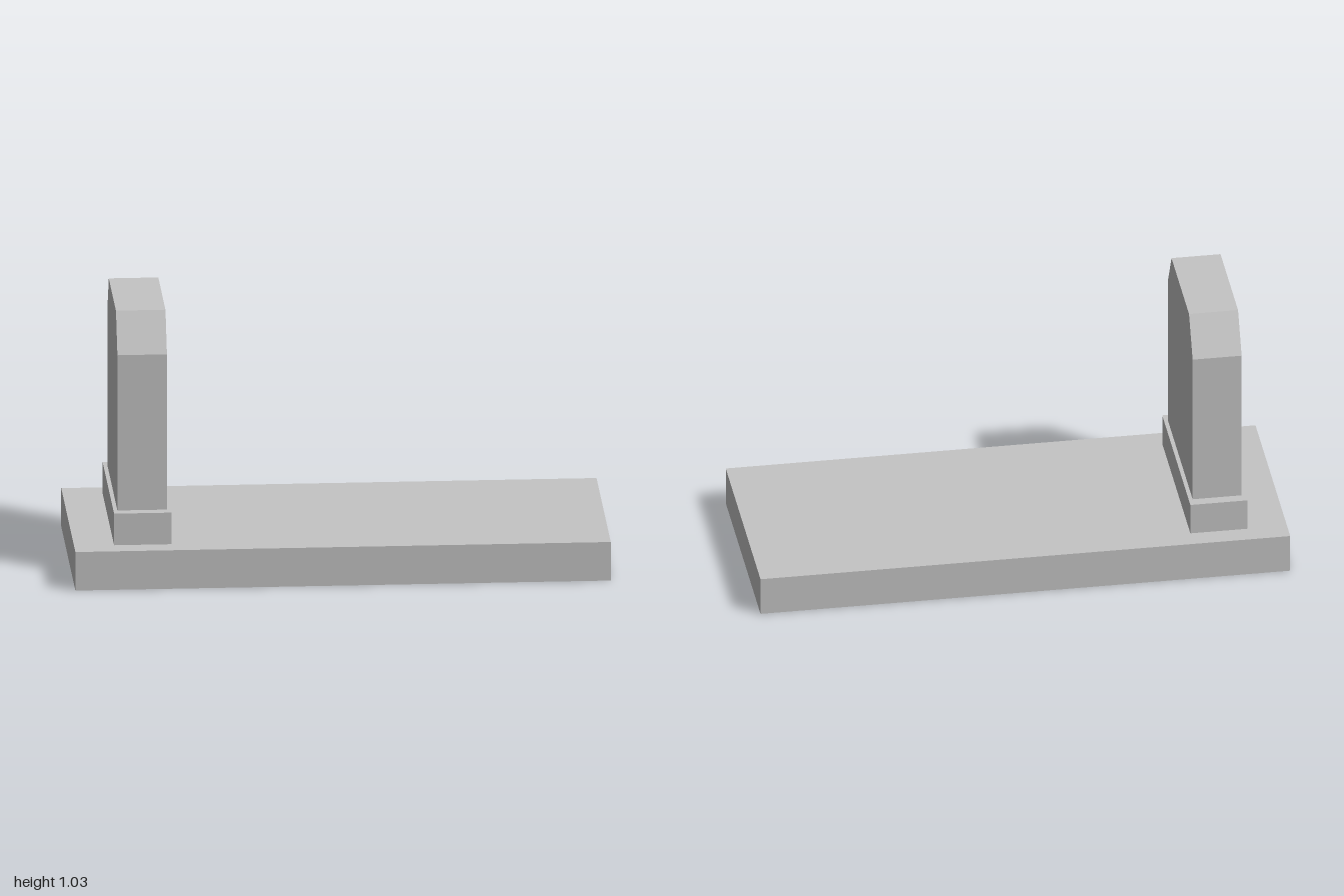
import * as THREE from 'three';

export function createModel() {
  const group = new THREE.Group();
  group.name = 'graveMonument';
  const stone = new THREE.MeshStandardMaterial({ color: 0xc4c4c4 });
  stone.name = 'greyStone';

  const add = (name, geometry, x, y) => {
    const mesh = new THREE.Mesh(geometry, stone);
    mesh.name = name;
    mesh.position.set(x, y, 0);
    group.add(mesh);
  };

  // Ground slab and the plinth at its head end
  add('slab', new THREE.BoxGeometry(2, 0.15, 0.82), 0, 0.075);
  add('plinth', new THREE.BoxGeometry(0.215, 0.123, 0.664), -0.743, 0.2115);

  // Headstone with chamfered top corners, extruded through its thickness
  const thickness = 0.185;
  const outline = new THREE.Shape([
    [-0.292, 0], [0.292, 0], [0.292, 0.605],
    [0.207, 0.753], [-0.207, 0.753], [-0.292, 0.605],
  ].map(([u, v]) => new THREE.Vector2(u, v)));
  const headstone = new THREE.ExtrudeGeometry(outline, { depth: thickness, bevelEnabled: false });
  headstone.translate(0, 0, -thickness / 2);
  headstone.rotateY(Math.PI / 2);
  add('headstone', headstone, -0.743, 0.273);

  return group;
}
